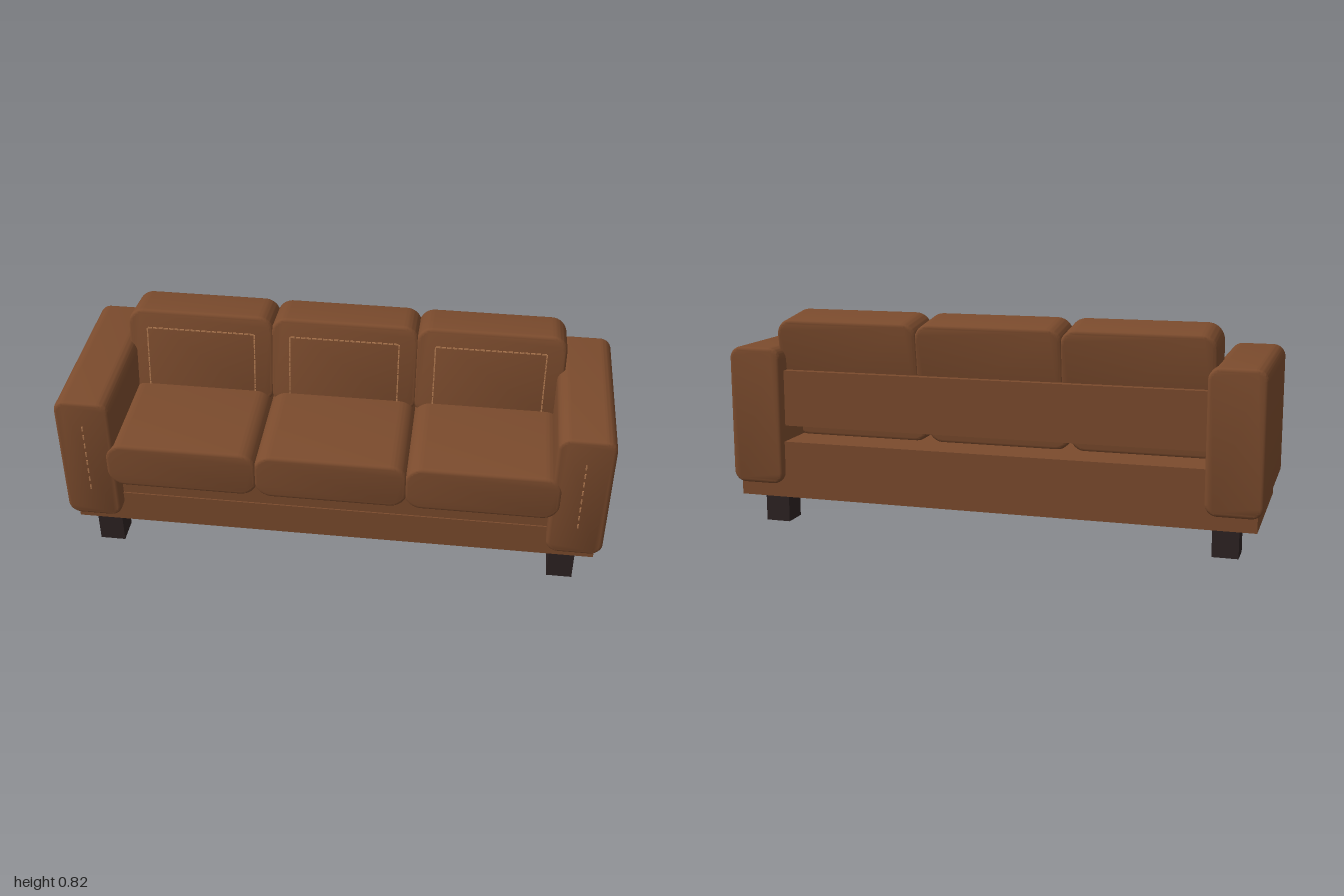
import * as THREE from 'three';
import { toCreasedNormals } from 'three/addons/utils/BufferGeometryUtils.js';

export function createModel() {
  const sofa = new THREE.Group();
  sofa.name = 'sofa';
  const material = (name, color) => {
    const m = new THREE.MeshStandardMaterial({ color });
    m.name = name;
    return m;
  };
  const leather = material('brown leather', 0x7b4b2d);
  const wood = material('dark wood', 0x2d2222);
  const thread = material('tan thread', 0xb0784f);

  function add(parent, name, geometry, mat, x, y, z) {
    const mesh = new THREE.Mesh(geometry, mat);
    mesh.name = name;
    mesh.position.set(x, y, z);
    parent.add(mesh);
    return mesh;
  }
  const box = (w, h, d) => new THREE.BoxGeometry(w, h, d);

  // Centred block: large corner radius r seen from the front, small bevel b front and back
  function pad(w, h, d, r, b) {
    const x = w / 2 - b, y = h / 2 - b, q = r - b;
    const s = new THREE.Shape();
    s.moveTo(-x + q, -y);
    s.lineTo(x - q, -y);
    s.absarc(x - q, -y + q, q, -Math.PI / 2, 0);
    s.lineTo(x, y - q);
    s.absarc(x - q, y - q, q, 0, Math.PI / 2);
    s.lineTo(-x + q, y);
    s.absarc(-x + q, y - q, q, Math.PI / 2, Math.PI);
    s.lineTo(-x, -y + q);
    s.absarc(-x + q, -y + q, q, Math.PI, Math.PI * 1.5);
    const g = new THREE.ExtrudeGeometry(s, {
      depth: d - 2 * b, bevelSize: b, bevelThickness: b, bevelSegments: 4, curveSegments: 8,
    });
    g.translate(0, 0, -(d - 2 * b) / 2);
    return toCreasedNormals(g, Math.PI / 5);
  }

  // Row of short stitches between two points on a front face
  function stitches(parent, x0, y0, x1, y1, z, count, fill, width) {
    const len = Math.hypot(x1 - x0, y1 - y0) / count * fill;
    const upright = Math.abs(y1 - y0) > Math.abs(x1 - x0);
    const g = upright ? box(width, len, 0.006) : box(len, width, 0.006);
    for (let i = 0; i < count; i++) {
      const t = (i + 0.5) / count;
      add(parent, 'stitch', g, thread, x0 + (x1 - x0) * t, y0 + (y1 - y0) * t, z);
    }
  }

  // Base, seat deck and rear board
  add(sofa, 'baseFrame', box(1.955, 0.13, 0.59), leather, 0, 0.18, -0.015);
  add(sofa, 'seatDeck', box(1.62, 0.085, 0.585), leather, 0, 0.2875, -0.0175);
  add(sofa, 'backBoard', box(1.62, 0.21, 0.05), leather, 0, 0.495, -0.275);

  // Arms with a line of stitches, and legs
  const armGeometry = pad(0.205, 0.52, 0.663, 0.045, 0.014);
  const legGeometry = box(0.095, 0.118, 0.098);
  for (const side of [-1, 1]) {
    const arm = new THREE.Group();
    arm.name = side > 0 ? 'leftArm' : 'rightArm';
    sofa.add(arm);
    add(arm, 'armBlock', armGeometry, leather, side * 0.8975, 0.428, -0.0035);
    stitches(arm, side * 0.9, 0.285, side * 0.9, 0.595, 0.329, 8, 0.5, 0.005);
    add(sofa, 'frontLeg', legGeometry, wood, side * 0.863, 0.059, 0.225);
    add(sofa, 'rearLeg', legGeometry, wood, side * 0.863, 0.059, -0.2);
  }

  // Three seat cushions and three tilted back cushions
  const seatGeometry = pad(0.56, 0.185, 0.483, 0.065, 0.014);
  const backGeometry = pad(0.555, 0.36, 0.187, 0.06, 0.014);
  for (const i of [-1, 0, 1]) {
    add(sofa, 'seatCushion', seatGeometry, leather, i * 0.55, 0.418, 0.0915);

    const back = new THREE.Group();
    back.name = 'backCushion';
    back.position.set(i * 0.545, 0.626, -0.18);
    back.rotation.x = -0.14;
    sofa.add(back);
    add(back, 'backPad', backGeometry, leather, 0, 0, 0);
    const z = 0.0935;
    stitches(back, -0.205, 0.108, 0.205, 0.108, z, 20, 0.8, 0.005);
    for (const side of [-1, 1]) {
      stitches(back, side * 0.205, -0.14, side * 0.205, 0.108, z, 12, 0.8, 0.005);
    }
  }
  return sofa;
}
